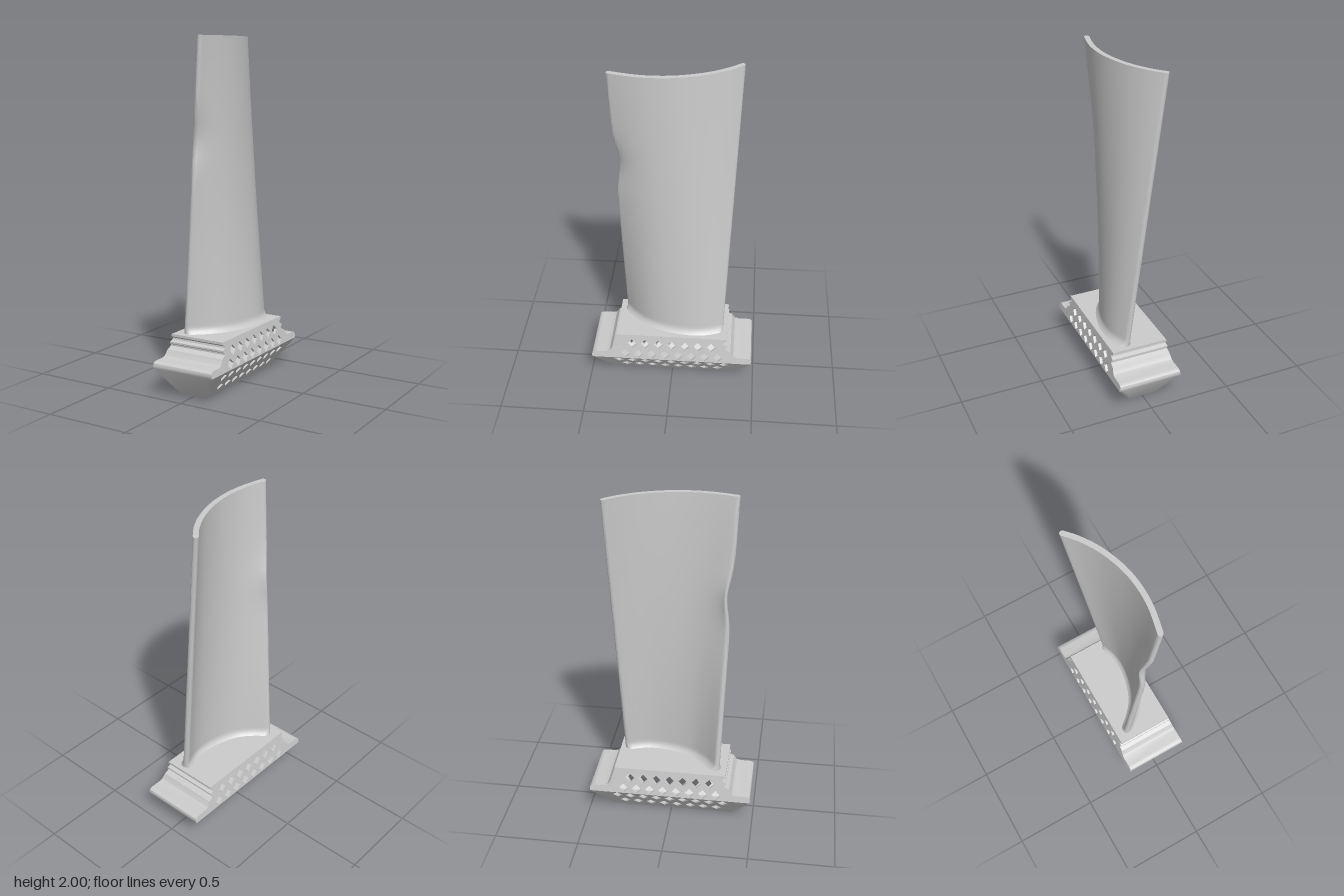
import * as THREE from 'three';
import { toCreasedNormals } from 'three/addons/utils/BufferGeometryUtils.js';

const BASE_TOP = 0.33, SPLIT = 0.165, WALL = 0.014;
const lerp = THREE.MathUtils.lerp;
const material = new THREE.MeshStandardMaterial({ color: 0xcccccc, side: THREE.DoubleSide });

// half width of the base at height y: flares out, then narrows
const halfWidth = (y) => (y < SPLIT
  ? lerp(0.08, 0.195, y / SPLIT)
  : lerp(0.195, 0.17, (y - SPLIT) / (BASE_TOP - SPLIT)));

// outline of the base as [z, y], from the bottom to the top
const lowerProfile = [[0.37, 0], [0.482, SPLIT]];
const upperProfile = [
  [0.482, SPLIT], [0.486, 0.18], [0.482, 0.194], [0.472, 0.202], [0.455, 0.205], [0.4, 0.205],
  [0.378, 0.212], [0.366, 0.228], [0.358, 0.243], [0.338, 0.252], [0.326, 0.259],
  [0.326, 0.268], [0.338, 0.275], [0.338, 0.285], [0.316, 0.294], [0.314, 0.304],
  [0.334, 0.316], [0.334, BASE_TOP],
];
const mirrored = (half) => [...half, ...half.map(([z, y]) => [-z, y]).reverse()];

function indexed(positions, index) {
  const g = new THREE.BufferGeometry();
  g.setAttribute('position', new THREE.Float32BufferAttribute(positions, 3));
  g.setIndex(index);
  return g;
}

function addMesh(parent, geometry, name) {
  const mesh = new THREE.Mesh(geometry, material);
  mesh.name = name;
  parent.add(mesh);
  return mesh;
}

// closed band around the base: ends, floor and platform
function bandGeometry() {
  const outline = mirrored([...lowerProfile, ...upperProfile.slice(1)]);
  const positions = [], index = [];
  outline.forEach(([z, y], i) => {
    const w = halfWidth(y), a = 2 * i, c = 2 * ((i + 1) % outline.length);
    positions.push(-w, y, z, w, y, z);
    index.push(a, a + 1, c + 1, a, c + 1, c);
  });
  return toCreasedNormals(indexed(positions, index), 0.6);
}

// sloping side plate pierced by rows of diamonds: [height, count]
function sidePlate(profile, rows) {
  const shape = new THREE.Shape(mirrored(profile).map(([z, y]) => new THREE.Vector2(z, y)));
  const r = 0.03;
  for (const [y, count] of rows) {
    for (let i = 0; i < count; i++) {
      const z = (i - (count - 1) / 2) * 0.08;
      shape.holes.push(new THREE.Path([
        new THREE.Vector2(z + r, y), new THREE.Vector2(z, y - r),
        new THREE.Vector2(z - r, y), new THREE.Vector2(z, y + r),
      ]));
    }
  }
  const g = new THREE.ExtrudeGeometry(shape, { depth: WALL, bevelEnabled: false });
  const p = g.attributes.position;
  for (let i = 0; i < p.count; i++) {
    const z = p.getX(i), y = p.getY(i), d = p.getZ(i);
    p.setXYZ(i, halfWidth(y) - d, y, z);
  }
  g.computeVertexNormals();
  return g;
}

// camber lines as [x, z], from the back edge to the front edge
const camber = (points) => new THREE.SplineCurve(points.map(([x, z]) => new THREE.Vector2(x, z)));
const rootLine = camber([[0.06, -0.305], [0.098, -0.2], [0.106, -0.1], [0.085, 0.02],
  [0.04, 0.13], [-0.03, 0.215], [-0.115, 0.285]]);
const tipLine = camber([[-0.127, -0.368], [-0.06, -0.29], [0.005, -0.18], [0.05, -0.05],
  [0.068, 0.07], [0.063, 0.2], [0.03, 0.352]]);

// twisted blade lofted from the root line to the tip line
function bladeGeometry() {
  const N = 48, ROWS = 70, M = 2 * (N + 1);
  const positions = [], index = [];
  const ts = Array.from({ length: N + 1 }, (_, i) => 0.5 - 0.5 * Math.cos((Math.PI * i) / N));
  const root = ts.map((t) => rootLine.getPointAt(t));
  const tip = ts.map((t) => tipLine.getPointAt(t));

  for (let j = 0; j <= ROWS; j++) {
    const u = (j / ROWS) ** 1.3;
    const y = lerp(BASE_TOP - 0.002, 2, u);
    const line = root.map((p, i) => p.clone().lerp(tip[i], u));
    const length = lerp(rootLine.getLength(), tipLine.getLength(), u);
    // small fillet where the blade meets the platform
    const h = lerp(0.018, 0.015, u) + 0.02 * Math.max(0, 1 - (y - BASE_TOP) / 0.04) ** 2;
    const sideA = [], sideB = [];
    line.forEach((p, i) => {
      const tangent = line[Math.min(i + 1, N)].clone().sub(line[Math.max(i - 1, 0)]).normalize();
      const d = Math.min(h, length * Math.min(ts[i], 1 - ts[i]));
      const half = Math.max(0.001, Math.sqrt(d * (2 * h - d)));
      // dent in the front edge
      const tall = Math.exp(-(((y - 1.43) / 0.13) ** 2));
      const near = Math.exp(-((length * (1 - ts[i])) / 0.06));
      const x = p.x - 0.018 * tall * near, z = p.y - 0.028 * tall * near;
      sideA.push([x + tangent.y * half, y, z - tangent.x * half]);
      sideB.push([x - tangent.y * half, y, z + tangent.x * half]);
    });
    for (const v of [...sideA, ...sideB.reverse()]) positions.push(...v);
  }

  for (let j = 0; j < ROWS; j++) {
    for (let i = 0; i < M; i++) {
      const a = j * M + i, b = j * M + ((i + 1) % M), c = a + M, d = b + M;
      index.push(a, c, b, b, c, d);
    }
  }
  // flat tip
  const top = ROWS * M;
  for (let i = 0; i < N; i++) {
    const a = top + i, m = top + M - 1 - i;
    index.push(a, m, a + 1, a + 1, m, m - 1);
  }
  return toCreasedNormals(indexed(positions, index), 0.9);
}

export function createModel() {
  const model = new THREE.Group();
  model.name = 'turbineBlade';

  const base = new THREE.Group();
  base.name = 'latticeBase';
  model.add(base);
  addMesh(base, bandGeometry(), 'baseBand');

  // pierced plates on both sides
  const lower = sidePlate(lowerProfile, [[0.061, 8], [0.132, 9]]);
  const upper = sidePlate(upperProfile, [[0.198, 8], [0.268, 7]]);
  for (const [side, turn] of [['left', 0], ['right', Math.PI]]) {
    addMesh(base, lower, side + 'LowerPlate').rotation.y = turn;
    addMesh(base, upper, side + 'UpperPlate').rotation.y = turn;
  }

  addMesh(model, bladeGeometry(), 'blade');
  return model;
}
